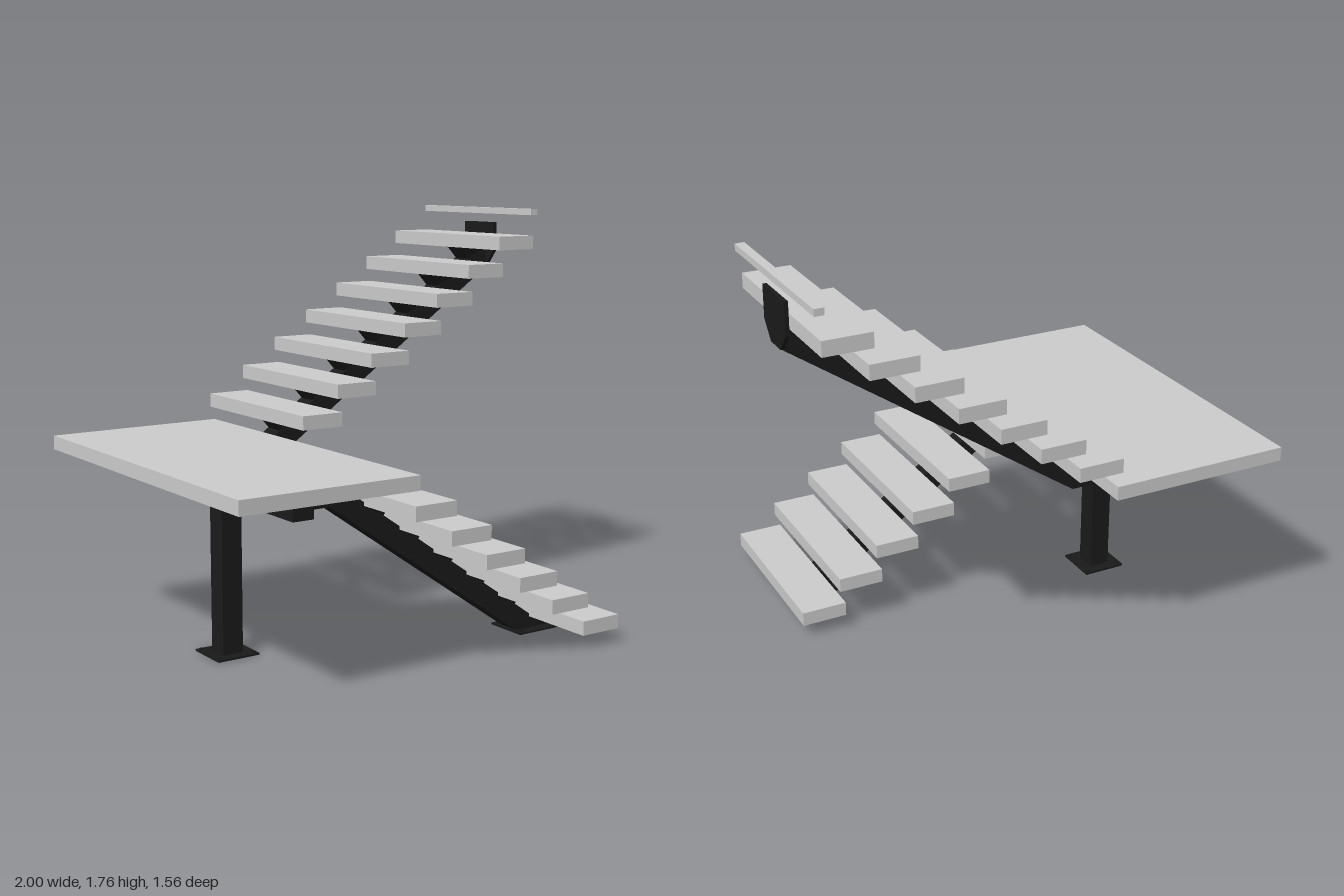
import * as THREE from 'three';

const wood = new THREE.MeshStandardMaterial({ color: 0xcccccc });
const steel = new THREE.MeshStandardMaterial({ color: 0x1a1a1a });
const RUN = 0.171, RISE = 0.1175, SLOPE = RISE / RUN;
const FLIGHT_Z = 0.39, TREAD_W = 0.193, TREAD_H = 0.06, FLIGHT_W = 0.78;

export function createModel() {
  const root = new THREE.Group();

  const add = (name, geometry, material, parent = root) => {
    const mesh = new THREE.Mesh(geometry, material);
    mesh.name = name;
    parent.add(mesh);
    return mesh;
  };

  // Box given by its extents on each axis
  const box = (name, [x0, x1], [y0, y1], [z0, z1], material = steel, parent = root) => {
    const mesh = add(name, new THREE.BoxGeometry(x1 - x0, y1 - y0, z1 - z0), material, parent);
    mesh.position.set((x0 + x1) / 2, (y0 + y1) / 2, (z0 + z1) / 2);
    return mesh;
  };

  // Side profile in x, y extruded across z about its centre
  const slab = (points, width) => {
    const shape = new THREE.Shape(points.map(([x, y]) => new THREE.Vector2(x, y)));
    return new THREE.ExtrudeGeometry(shape, { depth: width, bevelEnabled: false }).translate(0, 0, -width / 2);
  };

  // Tread bracket, flaring wider towards the tread
  const bracket = (points) => {
    const g = slab(points, 1);
    const p = g.attributes.position;
    for (let i = 0; i < p.count; i++) {
      p.setZ(i, p.getZ(i) * THREE.MathUtils.mapLinear(p.getY(i), -0.06, 0, 0.085, 0.12));
    }
    g.computeVertexNormals();
    return g;
  };

  // Flat plate with four anchor bolts
  const boltedPlate = (name, x, y, z, w, d) => {
    const group = new THREE.Group();
    group.name = name;
    group.position.set(x, y, z);
    box('plate', [-w / 2, w / 2], [0, 0.008], [-d / 2, d / 2], steel, group);
    for (const sx of [-1, 1]) for (const sz of [-1, 1]) {
      const bolt = add('bolt', new THREE.CylinderGeometry(0.007, 0.007, 0.007, 6), steel, group);
      bolt.position.set(sx * (w / 2 - 0.018), 0.011, sz * (d / 2 - 0.018));
    }
    root.add(group);
  };

  // A run of treads with their brackets
  const flight = (name, count, x0, y0, dir, zSide, bracketGeometry) => {
    const group = new THREE.Group();
    group.name = name;
    for (let i = 0; i < count; i++) {
      const x = x0 + i * RUN, y = y0 + dir * i * RISE;
      const z = zSide > 0 ? [0, FLIGHT_W] : [-FLIGHT_W, 0];
      box('tread', [x, x + TREAD_W], [y, y + TREAD_H], z, wood, group);
      add('treadBracket', bracketGeometry, steel, group).position.set(x, y, zSide * FLIGHT_Z);
    }
    root.add(group);
  };

  // Landing and treads
  box('landing', [-1, -0.22], [0.763, 0.822], [-FLIGHT_W, FLIGHT_W], wood);
  flight('lowerFlight', 6, -0.24, 0.645, -1, 1,
    bracket([[0.02, 0], [0.09, -0.06], [0.125, 0]]));
  flight('upperFlight', 7, -0.24, 0.88, 1, -1,
    bracket([[0.055, 0], [0.1, -0.06], [0.18, 0]]));
  box('topEdgeStrip', [0.962, 1], [1.735, 1.762], [-FLIGHT_W, 0], wood);

  // Cranked stringers: level under the landing, then sloping
  const footX = -0.4 + 0.65 / SLOPE;
  add('lowerStringer', slab([
    [-0.57, 0.66], [-0.4, 0.66], [footX, 0.008], [footX + 0.16, 0.008], [-0.371, 0.75], [-0.57, 0.75],
  ], 0.1), steel).position.z = FLIGHT_Z;
  const headY = 0.66 + SLOPE * 1.21;
  add('upperStringer', slab([
    [-0.57, 0.66], [-0.22, 0.66], [0.99, headY], [0.99, headY + 0.11], [-0.249, 0.75], [-0.57, 0.75],
  ], 0.1), steel).position.z = -FLIGHT_Z;

  // Head plate fixing the upper stringer to the floor above
  const head = add('headPlate', slab([
    [-0.048, 1.495], [0.048, 1.495], [0.106, 1.565], [0.106, 1.695], [-0.106, 1.695], [-0.106, 1.565],
  ], 0.016), steel);
  head.rotation.y = Math.PI / 2;
  head.position.set(0.992, 0, -FLIGHT_Z);

  // Post, cross beam and plates
  box('post', [-0.655, -0.565], [0.005, 0.66], [-0.047, 0.047]);
  box('postCapPlate', [-0.655, -0.565], [0.652, 0.661], [-0.13, 0.13]);
  box('crossBeam', [-0.656, -0.564], [0.66, 0.752], [-0.577, 0.58]);
  boltedPlate('postBase', -0.61, 0, 0, 0.19, 0.19);
  boltedPlate('stringerBase', 0.64, 0, FLIGHT_Z, 0.22, 0.19);
  for (const z of [-FLIGHT_Z, FLIGHT_Z]) {
    boltedPlate('beamTopPlate', -0.61, 0.75, z, 0.19, 0.19);
    boltedPlate('stringerTopPlate', z > 0 ? -0.42 : -0.31, 0.75, z, 0.13, 0.19);
  }
  return root;
}
